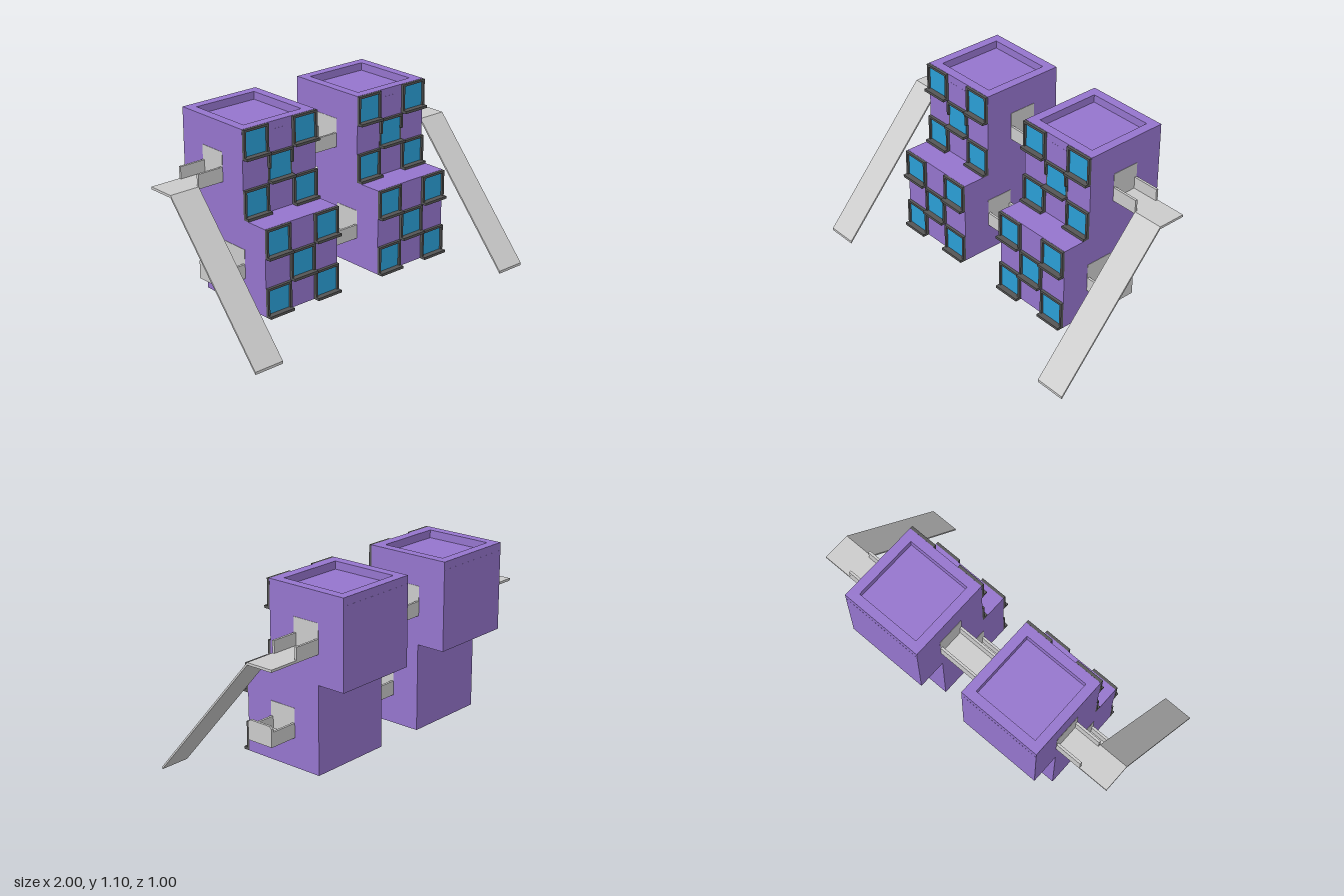
import * as THREE from 'three';

const mat = (color) => new THREE.MeshStandardMaterial({ color, flatShading: true });
const purple = mat(0x9575cd), blue = mat(0x2a9fd6), dark = mat(0x555555), grey = mat(0xcccccc);

// Box given by its minimum and maximum corners
function box(parent, name, material, x0, x1, y0, y1, z0, z1) {
  const mesh = new THREE.Mesh(new THREE.BoxGeometry(x1 - x0, y1 - y0, z1 - z0), material);
  mesh.position.set((x0 + x1) / 2, (y0 + y1) / 2, (z0 + z1) / 2);
  mesh.name = name;
  parent.add(mesh);
  return mesh;
}

// Outline extruded along +z
function extrude(parent, name, material, points, depth, holes = []) {
  const shape = new THREE.Shape(points.map((p) => new THREE.Vector2(...p)));
  for (const h of holes) shape.holes.push(new THREE.Path(h.map((p) => new THREE.Vector2(...p))));
  const mesh = new THREE.Mesh(new THREE.ExtrudeGeometry(shape, { depth, bevelEnabled: false }), material);
  mesh.name = name;
  parent.add(mesh);
  return mesh;
}

const W = 0.167;      // window size and grid pitch
const HALF = 0.252;   // half the width of a block
const HOUSE_X = 0.405;

// Framed window with a projecting sill; x, y is its lower left corner
function windowUnit(x, y, z, halfFrame) {
  const g = new THREE.Group();
  g.name = 'window';
  const t = 0.013, d = 0.017;
  box(g, 'pane', blue, t, W - t, t, W - t, 0, 0.005);
  const low = halfFrame ? W / 2 : 0;
  for (const x0 of [0, W - t]) {
    box(g, 'frameSide', dark, x0, x0 + t, low, W, 0, d);
    if (halfFrame) box(g, 'frameSideFlush', dark, x0, x0 + t, t, low, 0, 0.002);
  }
  box(g, 'frameTop', dark, t, W - t, W - t, W, 0, d);
  box(g, 'sill', dark, 0, W, 0, 0.015, 0, 0.039);
  g.position.set(x, y, z);
  return g;
}

// One block with five windows and a grey doorway on each side
function block(parent, name, x, y, front, doorZ, roofTray) {
  const g = new THREE.Group();
  g.name = name;
  const x0 = x - HALF, x1 = x + HALF, top = y + 0.504, back = front - 0.505;
  const trayDepth = roofTray ? 0.045 : 0;
  box(g, 'body', purple, x0, x1, y, top - trayDepth, back, front);
  if (roofTray) {
    // Raised rim around the sunken roof
    const o = HALF, i = 0.198;
    const rim = extrude(g, 'roofRim', purple, [[-o, -o], [o, -o], [o, o], [-o, o]], trayDepth,
      [[[-i, -i], [-i, i], [i, i], [i, -i]]]);
    rim.rotation.x = -Math.PI / 2;
    rim.position.set(x, top - trayDepth, (front + back) / 2);
  }
  for (let r = 0; r < 3; r++) for (let c = 0; c < 3; c++) {
    const middle = r === 1 && c === 1;
    if ((r + c) % 2 === 0) {
      g.add(windowUnit(x0 + c * 0.1685, y + r * 0.168, front, middle && roofTray));
    }
  }
  for (const [a, b] of [[x0 - 0.002, x0 + 0.01], [x1 - 0.01, x1 + 0.002]]) {
    box(g, 'doorway', grey, a, b, y + 0.168, y + 0.336, doorZ - 0.167, doorZ);
  }
  parent.add(g);
}

// Walkway floor with a low rail along each edge
function walkway(parent, name, x0, x1, y, z, floorX0 = x0, floorX1 = x1) {
  const g = new THREE.Group();
  g.name = name;
  box(g, 'floor', grey, floorX0, floorX1, y, y + 0.014, z - 0.167, z);
  box(g, 'frontRail', grey, x0, x1, y + 0.014, y + 0.083, z - 0.014, z);
  box(g, 'backRail', grey, x0, x1, y + 0.014, y + 0.083, z - 0.167, z - 0.153);
  parent.add(g);
}

export function createModel() {
  const model = new THREE.Group();
  model.name = 'twinTowers';
  const inner = HOUSE_X - HALF, outer = HOUSE_X + HALF, end = 0.818;
  const lowY = 0.09, highY = 0.594, lowDoor = 0.006, highDoor = -0.165;

  // Stacked blocks of both towers
  for (const s of [-1, 1]) {
    block(model, 'lowerBlock', s * HOUSE_X, lowY, 0.176, lowDoor, false);
    block(model, 'upperBlock', s * HOUSE_X, highY, 0.004, highDoor, true);
  }

  // Bridges between the towers
  walkway(model, 'lowerBridge', -inner, inner, lowY + 0.168, lowDoor);
  walkway(model, 'upperBridge', -inner, inner, highY + 0.168, highDoor);

  // Outer balconies, landings and ramps
  for (const s of [-1, 1]) {
    const lo = s > 0 ? outer : -end, hi = s > 0 ? end : -outer;
    walkway(model, 'balcony', lo, hi, lowY + 0.168, lowDoor);
    walkway(model, 'landing', lo, hi, highY + 0.168, highDoor, s > 0 ? outer : -1, s > 0 ? 1 : -outer);

    // Balcony end wall with clipped top corners
    const y0 = lowY + 0.168, y1 = y0 + 0.116, zf = -lowDoor, zb = zf + 0.167;
    const wall = extrude(model, 'balconyEndWall', grey,
      [[zf, y0], [zb, y0], [zb, y1 - 0.014], [zb - 0.014, y1], [zf + 0.014, y1], [zf, y1 - 0.014]], 0.014);
    wall.rotation.y = Math.PI / 2;
    wall.position.x = s > 0 ? end : -end - 0.014;

    // Sloping ramp from the landing to the ground
    const ramp = extrude(model, 'ramp', grey,
      [[0.165, 0.776], [-0.5, 0.015], [-0.5, 0], [0.165, 0.761]], 1 - end);
    ramp.rotation.y = Math.PI / 2;
    ramp.position.x = s > 0 ? end : -1;
  }
  return model;
}
